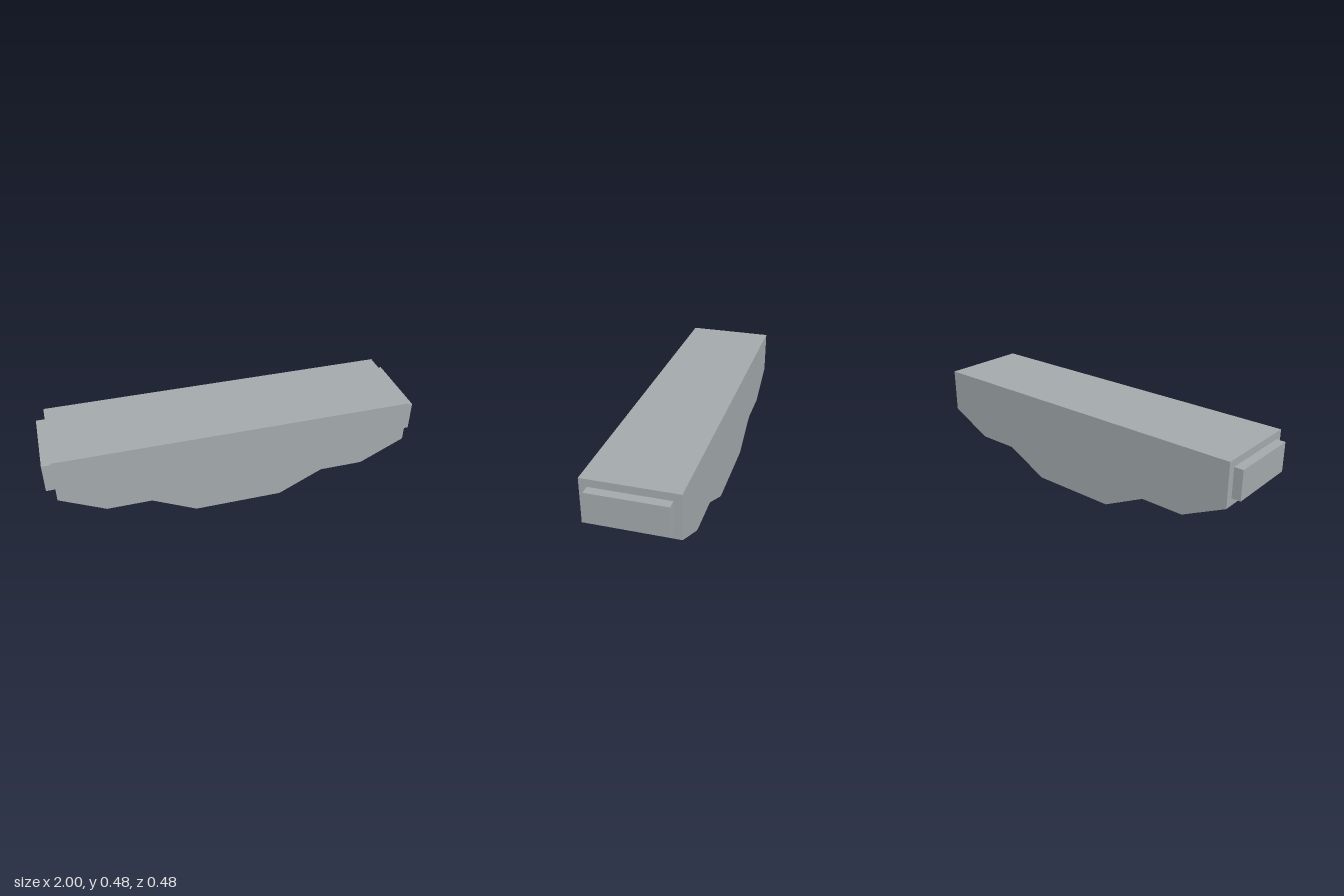
import * as THREE from 'three';
import { toCreasedNormals } from 'three/addons/utils/BufferGeometryUtils.js';

export function createModel() {
  const model = new THREE.Group();
  model.name = 'steppedBeam';

  const grey = new THREE.MeshStandardMaterial({ color: 0xa3a9ac });
  grey.name = 'light grey';

  // Beam body: right half of the stepped profile, mirrored to the left
  const depth = 0.476;
  const half = [[0.238, 0], [0.476, 0.119], [0.714, 0.119], [0.952, 0.238], [0.952, 0.476]];
  const mirrored = half.map(([x, y]) => [-x, y]).reverse();
  const profile = new THREE.Shape([...half, ...mirrored].map(([x, y]) => new THREE.Vector2(x, y)));
  const bodyGeometry = new THREE.ExtrudeGeometry(profile, { depth, bevelEnabled: false });
  bodyGeometry.translate(0, 0, -depth / 2);

  // The shallow bends underneath are shaded smooth, all other edges sharp
  const body = new THREE.Mesh(toCreasedNormals(bodyGeometry, 0.55), grey);
  body.name = 'beamBody';
  model.add(body);

  // Raised pad on each end
  for (const [side, name] of [[1, 'leftEndPad'], [-1, 'rightEndPad']]) {
    const pad = new THREE.Mesh(new THREE.BoxGeometry(0.048, 0.159, 0.397), grey);
    pad.position.set(side * 0.976, 0.357, 0);
    pad.name = name;
    model.add(pad);
  }

  return model;
}
